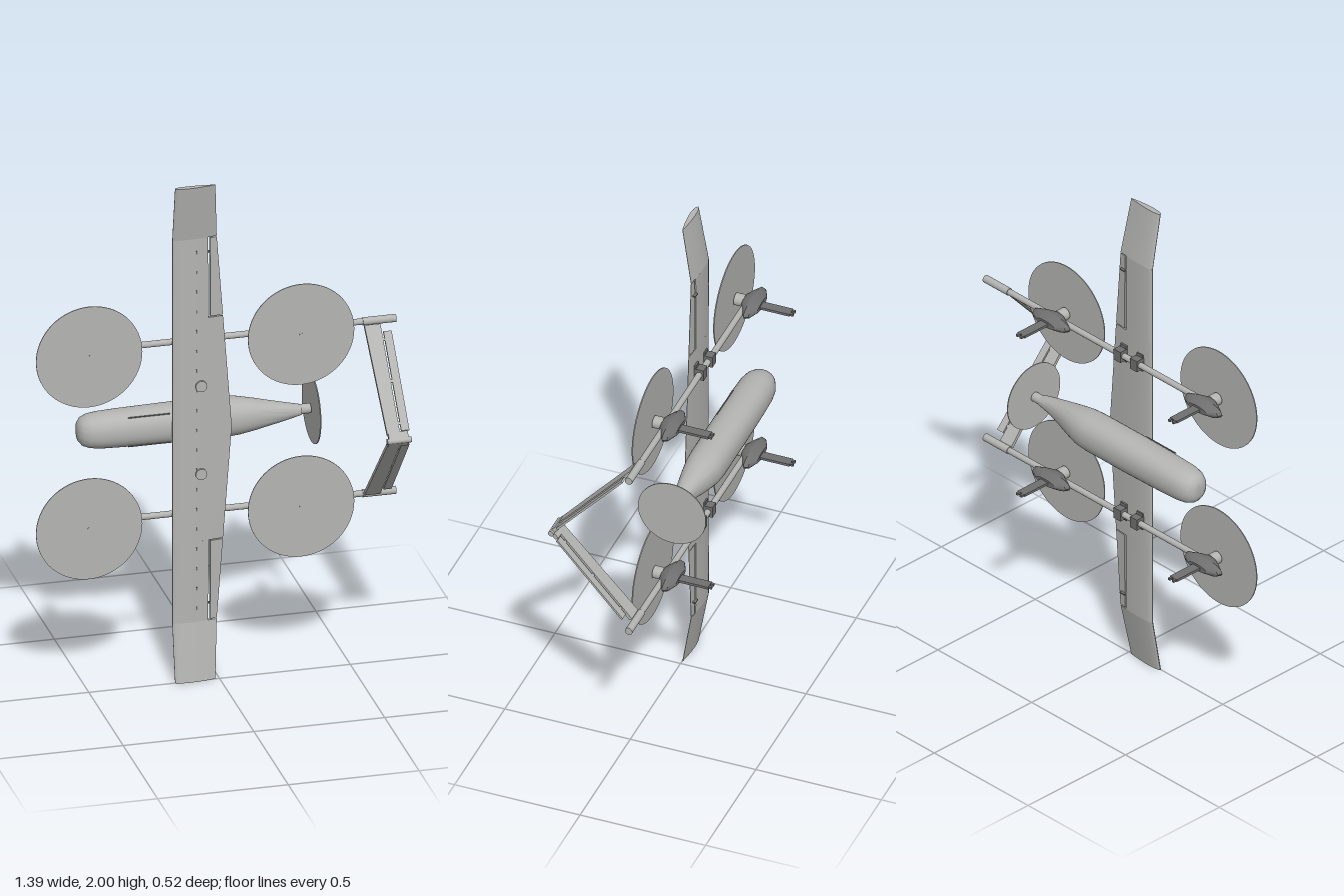
import * as THREE from 'three';
import { toCreasedNormals } from 'three/addons/utils/BufferGeometryUtils.js';

const mat = (name, color) => {
  const m = new THREE.MeshStandardMaterial({ color });
  m.name = name;
  return m;
};

// Skin over closed rings of points, each ring counter-clockwise about the travel axis
function loft(rings, crease = 0.6) {
  const n = rings[0].length, pos = rings.flat(2), idx = [];
  for (let r = 0; r < rings.length - 1; r++) {
    for (let i = 0; i < n; i++) {
      const a = r * n + i, b = r * n + (i + 1) % n;
      idx.push(a, b, b + n, a, b + n, a + n);
    }
  }
  const last = (rings.length - 1) * n;
  for (let i = 1; i < n - 1; i++) {
    idx.push(0, i + 1, i);
    idx.push(last, last + i, last + i + 1);
  }
  const g = new THREE.BufferGeometry();
  g.setAttribute('position', new THREE.Float32BufferAttribute(pos, 3));
  g.setIndex(idx);
  return toCreasedNormals(g, crease);
}

// Wing planform and dihedral as functions of height along the span
const lerp = THREE.MathUtils.lerp;
const trailing = (y) => {
  const d = Math.abs(y - 1);
  return d < 0.78 ? lerp(0.058, 0, d / 0.78) : lerp(0, -0.015, (d - 0.78) / 0.22);
};
const wingZ = (y) => {
  const d = Math.abs(y - 1);
  return d < 0.78 ? -0.042 : lerp(-0.042, -0.002, (d - 0.78) / 0.22);
};
const LEAD = -0.17;

// Airfoil outline at span station y, limited to x0..x1
function airfoil(y, x0, x1) {
  const N = 12, top = [], bottom = [], te = trailing(y), z = wingZ(y);
  for (let i = 0; i <= N; i++) {
    const x = lerp(x0, x1, (i / N) ** 1.5);
    const u = THREE.MathUtils.clamp((x - LEAD) / (te - LEAD), 0, 1);
    const f = 2.6 * Math.sqrt(u) * (1 - u) + 0.08;
    top.push([x, y, z + 0.012 * f]);
    bottom.unshift([x, y, z - 0.009 * f]);
  }
  return [...top, ...bottom];
}

export function createModel() {
  const root = new THREE.Group();
  root.name = 'tiltFreeDrone';
  const grey = mat('light grey', 0xb4b5b2);
  const dark = mat('dark grey', 0x707070);

  const add = (name, geo, m, x = 0, y = 0, z = 0, parent = root) => {
    const mesh = new THREE.Mesh(geo, m);
    mesh.name = name;
    mesh.position.set(x, y, z);
    parent.add(mesh);
    return mesh;
  };
  const box = (name, m, w, h, d, x, y, z, parent) =>
    add(name, new THREE.BoxGeometry(w, h, d), m, x, y, z, parent);
  const rodX = (name, m, r, x0, x1, y, z) =>
    add(name, new THREE.CylinderGeometry(r, r, x1 - x0, 20).rotateZ(Math.PI / 2), m, (x0 + x1) / 2, y, z);
  const rodZ = (name, m, r, z0, z1, x, y, seg = 24) =>
    add(name, new THREE.CylinderGeometry(r, r, z1 - z0, seg).rotateX(Math.PI / 2), m, x, y, (z0 + z1) / 2);

  // Fuselage: rounded sections [x, half width, half depth, centre z]
  const sections = [
    [-0.512, 0.02, 0.018, -0.132], [-0.508, 0.037, 0.033, -0.131], [-0.495, 0.053, 0.05, -0.13],
    [-0.47, 0.063, 0.062, -0.129], [-0.43, 0.068, 0.069, -0.128], [-0.35, 0.071, 0.071, -0.128],
    [-0.17, 0.075, 0.072, -0.128], [0.05, 0.075, 0.072, -0.128], [0.1, 0.071, 0.069, -0.127],
    [0.16, 0.06, 0.057, -0.123], [0.22, 0.047, 0.043, -0.119], [0.28, 0.034, 0.031, -0.116],
    [0.34, 0.019, 0.024, -0.117],
  ];
  const round = (v) => Math.sign(v) * Math.abs(v) ** 0.88;
  add('fuselage', loft(sections.map(([x, hy, hz, cz]) =>
    Array.from({ length: 36 }, (_, i) => {
      const a = i / 36 * Math.PI * 2;
      return [x, 1 + hy * round(Math.cos(a)), cz + hz * round(Math.sin(a))];
    }))), grey);
  rodX('pusherMotor', grey, 0.019, 0.33, 0.378, 1, -0.12);
  rodX('pusherPropeller', grey, 0.135, 0.382, 0.386, 1, -0.12).geometry =
    new THREE.CylinderGeometry(0.135, 0.135, 0.004, 64).rotateZ(Math.PI / 2);
  for (const s of [-1, 1]) box('hatchSeam', dark, 0.16, 0.003, 0.004, -0.25, 1 + s * 0.058, -0.077);

  // Wing: the spar line ends early in the aileron bays
  const hinge = -0.034;
  const wing = (name, ys, x0, x1) =>
    add(name, loft(ys.map((y) => airfoil(y, x0, x1(y)))), grey);
  wing('centreWing', [0.55, 1, 1.45], LEAD, trailing);
  for (const s of [-1, 1]) {
    const span = (a, b) => (s > 0 ? [1 + a, 1 + b] : [1 - b, 1 - a]);
    wing('outerWing', span(0.45, 0.775), LEAD, () => hinge);
    wing('aileron', span(0.454, 0.771), hinge + 0.008, trailing);
    wing('wingtip', span(0.775, 1), LEAD, trailing);
    box('aileronHorn', dark, 0.025, 0.004, 0.014, -0.02, 1 + s * 0.71, -0.05);
    rodZ('wingCap', grey, 0.022, -0.032, -0.022, -0.063, 1 + s * 0.178);
  }
  // Row of fasteners along the span
  for (let i = -9; i <= 9; i++) box('fastener', dark, 0.004, 0.012, 0.003, -0.08, 1 + i * 0.08, -0.0285);

  // Booms with lift rotors
  const podRings = [[-0.127, 0.05, 0.014], [-0.108, 0.09, 0.025], [-0.09, 0.097, 0.03], [-0.075, 0.07, 0.028], [-0.058, 0.04, 0.02]];
  const podGeo = loft(podRings.map(([z, rx, ry]) =>
    Array.from({ length: 16 }, (_, i) => {
      const a = i / 16 * Math.PI * 2;
      return [rx * Math.cos(a), ry * Math.sin(a), z];
    })), 0.4);
  for (const s of [-1, 1]) {
    const y = 1.003 + s * 0.348;
    rodX('boom', grey, 0.012, -0.5, 0.69, y, -0.07);
    rodX('boomEnd', grey, 0.015, 0.565, 0.692, y, -0.07);
    for (const x of [-0.115, -0.028]) {
      box('boomClamp', dark, 0.036, 0.046, 0.036, x, y, -0.07);
      box('clampFoot', dark, 0.03, 0.07, 0.008, x, y, -0.053);
    }
    for (const x of [-0.495, 0.316]) {
      add('motorPod', podGeo, dark, x, y, 0);
      rodZ('liftMotor', grey, 0.024, -0.06, -0.022, x, y);
      rodZ('motorShaft', grey, 0.006, -0.024, -0.012, x, y);
      rodZ('rotorDisc', grey, 0.203, -0.017, -0.013, x, y, 64);
      box('landingLeg', dark, 0.038, 0.01, 0.13, x + 0.004, y, -0.18);
      for (const k of [-1, 1]) box('legProng', dark, 0.01, 0.009, 0.014, x + 0.004 + k * 0.01, y, -0.251);
    }
  }

  // Inverted V tail joining the booms
  rodX('tailJoint', grey, 0.011, 0.575, 0.668, 1, 0.25);
  const length = Math.hypot(0.335, 0.3);
  const plate = (pts, t) => {
    const shape = new THREE.Shape(pts.map((p) => new THREE.Vector2(...p)));
    return new THREE.ExtrudeGeometry(shape, { depth: t, bevelEnabled: false }).translate(0, 0, -t / 2);
  };
  for (const s of [-1, 1]) {
    const tail = new THREE.Group();
    tail.name = 'tailPanel';
    tail.position.set(0, 1 + s * 0.005, 0.247);
    tail.rotation.x = Math.atan2(-0.3, s * 0.335);
    root.add(tail);
    add('stabiliser', plate([[0.579, 0.02], [0.628, 0.02], [0.628, length], [0.567, length]], 0.013), grey, 0, 0, 0, tail);
    add('ruddervator', plate([[0.635, 0.03], [0.666, 0.03], [0.666, length - 0.03], [0.635, length - 0.03]], 0.008), grey, 0, 0, 0, tail);
    for (const h of [0.06, length / 2, length - 0.06]) box('tailHinge', grey, 0.012, 0.012, 0.006, 0.632, h, 0, tail);
    box('tailSocket', grey, 0.075, 0.03, 0.016, 0.62, 0.012, 0, tail);
  }
  return root;
}
